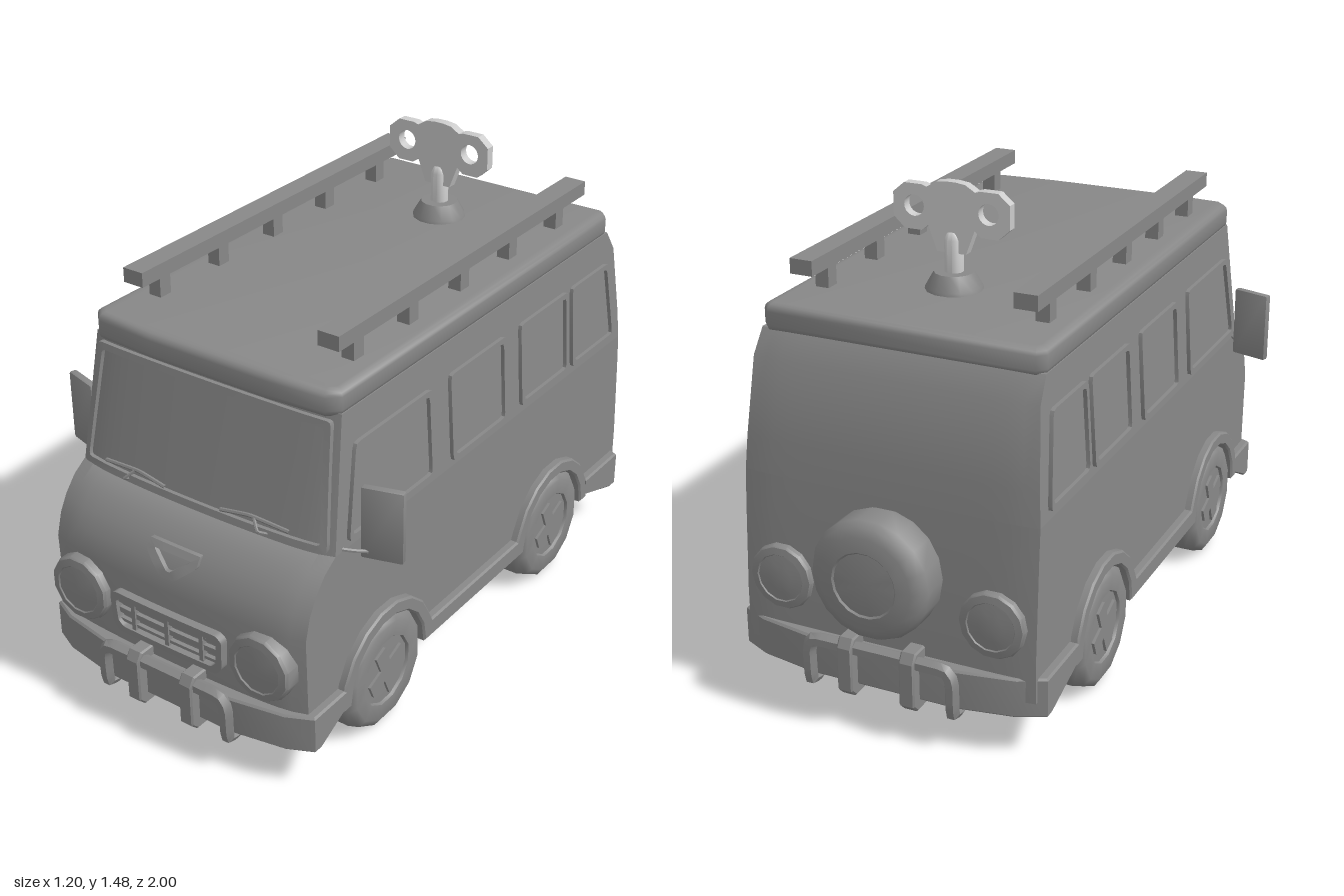
import * as THREE from 'three';
import { toCreasedNormals } from 'three/addons/utils/BufferGeometryUtils.js';
import { RoundedBoxGeometry } from 'three/addons/geometries/RoundedBoxGeometry.js';

const paint = new THREE.MeshStandardMaterial({ color: 0x888888 });
const keyMetal = new THREE.MeshStandardMaterial({ color: 0xcccccc });
const HALF = 0.455, FRONT_AXLE = 0.535, REAR_AXLE = -0.415, AXLE_Y = 0.186;

// Body outline at the centre line, as [z, y] from bottom to top
const NOSE = [[0.93, 0.18], [0.938, 0.5], [0.918, 0.57], [0.89, 0.62], [0.85, 0.667], [0.8, 0.7]];
const SCREEN = [[0.8, 0.7], [0.71, 1.1]];
const TAIL = [[-0.88, 0.18], [-0.879, 0.33], [-0.863, 0.6], [-0.855, 0.7]];
const UPPER_TAIL = [[-0.855, 0.7], [-0.846, 0.8], [-0.812, 1.03], [-0.765, 1.1]];

const halfWidth = y => HALF - 0.025 * THREE.MathUtils.clamp((y - 0.7) / 0.4, 0, 1);

// Rounds the body in plan: a bowed front, and small corners at the back
function bend(x, z) {
  const u = Math.abs(x) / HALF;
  const weight = THREE.MathUtils.clamp((Math.abs(z) - 0.65) / 0.15, 0, 1);
  return z > 0 ? z - weight * (0.02 * u ** 2 + 0.018 * u ** 10) : z + weight * 0.009 * u ** 10;
}

function frontZ(y) {
  const line = [...NOSE, SCREEN[1]];
  const i = Math.max(1, line.findIndex(p => p[1] >= y));
  const [a, b] = [line[i - 1], line[i]];
  return a[0] + (b[0] - a[0]) * (y - a[1]) / (b[1] - a[1]);
}

const vectors = points => points.map(p => new THREE.Vector2(p[0], p[1]));
const mirrored = half => [...half, ...half.map(([x, y]) => [-x, y]).reverse()];

function moveVertices(geometry, rule) {
  const p = geometry.attributes.position;
  for (let i = 0; i < p.count; i++) p.setXYZ(i, ...rule(p.getX(i), p.getY(i), p.getZ(i)));
  return geometry;
}

function add(parent, name, geometry, position = [0, 0, 0], crease = 0.6, material = paint) {
  const mesh = new THREE.Mesh(toCreasedNormals(geometry, crease), material);
  mesh.name = name;
  mesh.position.set(...position);
  parent.add(mesh);
  return mesh;
}

// Replaces each corner by a short curve and divides the long edges
function roundCorners(points, radius, pieces = 1) {
  const pts = vectors(points), out = [];
  pts.forEach((p, i) => {
    const toward = (from, to) => from.clone().lerp(to, Math.min(0.45, radius / from.distanceTo(to)));
    const next = pts[(i + 1) % pts.length];
    const a = toward(p, pts.at(i - 1)), b = toward(p, next), end = toward(next, p);
    out.push(a, a.clone().add(b).multiplyScalar(0.25).addScaledVector(p, 0.5), b);
    for (let k = 1; k < pieces; k++) out.push(b.clone().lerp(end, k / pieces));
  });
  return out;
}

// The outline moved inward by a width
function inset(outline, width) {
  const box = new THREE.Box2().setFromPoints(outline);
  const c = box.getCenter(new THREE.Vector2()), size = box.getSize(new THREE.Vector2());
  return outline.map(p => new THREE.Vector2(
    c.x + (p.x - c.x) * (1 - 2 * width / size.x), c.y + (p.y - c.y) * (1 - 2 * width / size.y)));
}

// A closed rim between two counterclockwise outlines with matching points
function rim(outline, hole, depth) {
  const rings = [[outline, -1], [outline, 1], [hole, 1], [hole, -1]];
  const n = outline.length, index = [];
  const position = rings.flatMap(([ring, side]) => ring.flatMap(p => [p.x, p.y, side * depth / 2]));
  for (let k = 0; k < 4; k++) for (let i = 0; i < n; i++) {
    const j = (i + 1) % n, r = k * n, t = ((k + 1) % 4) * n;
    index.push(r + i, r + j, t + j, r + i, t + j, t + i);
  }
  const geometry = new THREE.BufferGeometry().setIndex(index);
  return geometry.setAttribute('position', new THREE.Float32BufferAttribute(position, 3));
}

// Extrudes a [z, y] outline across x
function acrossX(points, width, steps = 1, bevel = 0) {
  return new THREE.ExtrudeGeometry(new THREE.Shape(vectors(points)), {
    depth: width, steps, bevelEnabled: bevel > 0, bevelSize: bevel, bevelThickness: bevel, bevelSegments: 1,
  }).translate(0, 0, -width / 2).rotateY(-Math.PI / 2);
}

const onFront = geometry => moveVertices(geometry, (x, y, z) => [x, y, z + bend(x, frontZ(y))]);
const lathe = (points, sides) => new THREE.LatheGeometry(vectors(points), sides, Math.PI / sides);

function tube(points, radius) {
  const curve = new THREE.CatmullRomCurve3(points.map(p => new THREE.Vector3(...p)), false, 'catmullrom', 0.15);
  return new THREE.TubeGeometry(curve, points.length * 5, radius, 6);
}

// Half circle over an axle, from its front to its back
const arch = (z, radius) => Array.from({ length: 10 }, (_, i) =>
  [z + radius * Math.cos(Math.PI * i / 9), AXLE_Y + radius * Math.sin(Math.PI * i / 9)]);

function addBody(van) {
  const rule = (x, y, z) => [x * halfWidth(y) / HALF, y, bend(x, z)];
  const floor = [...arch(FRONT_AXLE, 0.197), ...arch(REAR_AXLE, 0.197)];
  const lower = [...floor, ...TAIL, ...[...NOSE].reverse()];
  const upper = [...UPPER_TAIL, ...[...SCREEN].reverse()];
  add(van, 'lowerBody', moveVertices(acrossX(lower, HALF * 2, 20), rule));
  add(van, 'upperBody', moveVertices(acrossX(upper, HALF * 2, 20), rule));
  // Roof cap with rounded edges
  const plan = mirrored([[0.2, -0.712], [0.385, -0.7], [0.405, -0.68], [0.405, 0.735], [0.395, 0.746]]);
  add(van, 'roof', new THREE.ExtrudeGeometry(new THREE.Shape(vectors(plan)), {
    depth: 0.04, bevelSize: 0.024, bevelThickness: 0.022, bevelSegments: 3,
  }).rotateX(-Math.PI / 2), [0, 1.109, 0], 0.9);
}

function addFront(van) {
  const screen = roundCorners([[0.438, 0.71], [0.41, 1.08], [-0.41, 1.08], [-0.438, 0.71]], 0.012, 12);
  add(van, 'windscreenFrame', onFront(rim(screen, inset(screen, 0.02), 0.024)));
  const grille = roundCorners([[0.2, 0.33], [0.205, 0.425], [0.185, 0.441], [-0.185, 0.441], [-0.205, 0.425],
    [-0.2, 0.33], [-0.18, 0.307], [0.18, 0.307]], 0.008, 6);
  add(van, 'grilleFrame', onFront(rim(grille, inset(grille, 0.02), 0.05)));
  for (const [y, height] of [[0.34, 0.01], [0.373, 0.018], [0.404, 0.01]])
    add(van, 'grilleBar', onFront(new THREE.BoxGeometry(0.37, height, 0.026, 12).translate(0, y, 0)));
  for (const x of [-0.125, 0, 0.125])
    add(van, 'grillePost', new THREE.BoxGeometry(0.014, 0.105, 0.034), [x, 0.373, bend(x, 0.936)]);
  const badge = [[0.09, 0.63], [-0.09, 0.63], [-0.09, 0.6], [-0.025, 0.547], [0.025, 0.547], [0.09, 0.6]];
  const opening = [[0.066, 0.612], [-0.066, 0.612], [-0.06, 0.606], [-0.006, 0.567], [0.006, 0.567], [0.06, 0.606]];
  add(van, 'noseTrim', onFront(rim(roundCorners(badge, 0.003, 4), roundCorners(opening, 0.003, 4), 0.026)));
  for (const s of [-1, 1]) {
    const at = (x, y, lift) => [s * x, y, bend(x, frontZ(y)) + lift];
    add(van, 'wiperBlade', tube([at(0.1, 0.748, 0.024), at(0.2, 0.762, 0.024), at(0.33, 0.754, 0.024)], 0.006));
    add(van, 'wiperArm', tube([at(0.255, 0.712, 0), at(0.24, 0.735, 0.04), at(0.215, 0.76, 0.026)], 0.005));
    add(van, 'mirrorArm', tube([[s * 0.45, 0.706, 0.73], [s * 0.48, 0.698, 0.705], [s * 0.515, 0.69, 0.667]], 0.006));
    const mirror = add(van, 'mirror', new RoundedBoxGeometry(0.124, 0.224, 0.026, 1, 0.007), [s * 0.54, 0.782, 0.66]);
    mirror.rotation.y = s * 0.28;
  }
}

function addLamps(van) {
  const profile = [[0.105, -0.03], [0.105, 0.022], [0.1, 0.031], [0.078, 0.035], [0.075, 0.031], [0.04, 0.035], [0, 0.037]];
  for (const s of [-1, 1]) {
    add(van, 'headlight', lathe(profile, 12).rotateX(Math.PI / 2), [s * 0.33, 0.39, 0.927]);
    add(van, 'tailLamp', lathe(profile, 14).scale(0.95, 0.9, 0.95).rotateX(-Math.PI / 2), [s * 0.33, 0.4, -0.864]);
  }
}

function addSides(van) {
  const windows = [
    [[0.655, 1], [0.285, 1], [0.285, 0.72], [0.71, 0.72]],
    [[0.19, 1], [-0.115, 1], [-0.115, 0.72], [0.19, 0.72]],
    [[-0.2, 1], [-0.49, 1], [-0.49, 0.725], [-0.2, 0.725]],
    [[-0.515, 1], [-0.75, 1], [-0.795, 0.725], [-0.515, 0.725]],
  ];
  // Wheel arch flares joined by the sill
  const flare = z => arch(z, 0.224).map(([a, y]) => [a, Math.abs(a - 0.06) < 0.26 ? 0.235 : y]);
  const trim = [...flare(FRONT_AXLE), ...flare(REAR_AXLE),
    ...arch(REAR_AXLE, 0.192).reverse(), ...arch(FRONT_AXLE, 0.192).reverse()];
  for (const s of [-1, 1]) {
    for (const w of windows) {
      const outline = roundCorners(w, 0.018);
      const g = rim(outline, inset(outline, 0.016), 0.024).rotateY(-Math.PI / 2);
      add(van, 'sideWindowFrame', moveVertices(g, (x, y, z) => [x + s * halfWidth(y), y, z]));
    }
    add(van, 'archTrim', acrossX(trim, 0.03, 1, 0.006), [s * 0.46, 0, 0], 0.4);
  }
}

function addWheels(van) {
  const tyre = [[0, -0.078], [0.06, -0.07], [0.095, -0.05], [0.11, -0.07], [0.16, -0.077], [0.183, -0.062],
    [0.192, -0.03], [0.192, 0.03], [0.183, 0.062], [0.16, 0.077], [0.112, 0.075], [0.108, 0.066], [0, 0.068]];
  for (const s of [-1, 1]) for (const z of [FRONT_AXLE, REAR_AXLE]) {
    const wheel = new THREE.Group();
    wheel.name = 'wheel';
    wheel.position.set(s * 0.398, AXLE_Y, z);
    wheel.rotation.y = s > 0 ? 0 : Math.PI;
    add(wheel, 'tyre', lathe(tyre, 12).rotateZ(-Math.PI / 2), [0, 0, 0], 0.85);
    for (const turn of [0, Math.PI / 2])
      add(wheel, 'hubSpoke', new THREE.BoxGeometry(0.026, 0.17, 0.048), [0.062, 0, 0]).rotation.x = turn + 0.4;
    van.add(wheel);
  }
  const spare = [[0.17, 0], [0.18, 0.02], [0.18, 0.1], [0.168, 0.122], [0.14, 0.133], [0.099, 0.139], [0.094, 0.134], [0, 0.139]];
  add(van, 'spareWheel', lathe(spare, 18).rotateX(-Math.PI / 2), [0, 0.5, -0.857], 0.8);
}

function addBumper(van, name, turn, offset, reach) {
  const bumper = new THREE.Group();
  bumper.name = name;
  bumper.rotation.y = turn;
  bumper.position.z = offset;
  // Solid tray whose underside rises toward the wheels
  const plan = mirrored([[0.23, -0.96], [0.4, -0.93], [0.475, -0.895], [0.475, -0.87], [0.475, -reach]]);
  const tray = new THREE.ExtrudeGeometry(new THREE.Shape(vectors(plan)), {
    depth: 0.11, bevelSize: 0.006, bevelThickness: 0.006, bevelSegments: 1,
  }).rotateX(-Math.PI / 2).translate(0, 0.136, 0);
  add(bumper, 'bumperTray', moveVertices(tray, (x, y, z) =>
    [x, y < 0.19 ? y + 0.06 * THREE.MathUtils.clamp((0.87 - z) / (0.87 - reach), 0, 1) : y, z]), [0, 0, 0], 0.4);
  const half = [[0.225, 0.115, 0.93], [0.225, 0.12, 0.968], [0.225, 0.215, 0.972], [0.2, 0.25, 0.972]];
  add(bumper, 'guardBar', tube([...half, ...half.map(([x, y, z]) => [-x, y, z]).reverse()], 0.022));
  const hook = [[0.92, 0.28], [0.98, 0.28], [0.995, 0.255], [0.995, 0.125], [0.975, 0.105], [0.9, 0.105],
    [0.9, 0.13], [0.958, 0.132], [0.966, 0.245], [0.92, 0.25]];
  for (const s of [-1, 1]) add(bumper, 'guardHook', acrossX(hook, 0.038, 1, 0.005), [s * 0.098, 0, 0], 0.4);
  van.add(bumper);
}

function addRoofParts(van) {
  for (const s of [-1, 1]) {
    add(van, 'roofRail', new THREE.BoxGeometry(0.07, 0.045, 1.32), [s * 0.34, 1.262, -0.03]);
    for (const z of [0.52, 0.255, -0.01, -0.28, -0.56])
      add(van, 'railPost', new THREE.BoxGeometry(0.042, 0.08, 0.045), [s * 0.34, 1.205, z]);
  }
  // Wind-up key
  const at = [0, 0, -0.43];
  add(van, 'keyBase', lathe([[0.085, 1.165], [0.082, 1.18], [0.058, 1.222], [0.028, 1.222]], 14), at);
  add(van, 'keyShaft', lathe([[0.028, 1.2], [0.028, 1.315], [0.019, 1.336], [0, 1.343]], 12), at, 0.9, keyMetal);
  const plate = new THREE.Shape(vectors(mirrored([[0.045, 1.278], [0.072, 1.35], [0.092, 1.333], [0.145, 1.333],
    [0.18, 1.365], [0.18, 1.435], [0.145, 1.465], [0.09, 1.465], [0.075, 1.46], [0.045, 1.478], [0.015, 1.482]])));
  for (const s of [-1, 1]) plate.holes.push(new THREE.Path().absarc(s * 0.115, 1.402, 0.031, 0, Math.PI * 2));
  const plateGeometry = new THREE.ExtrudeGeometry(plate, { depth: 0.03, bevelEnabled: false, curveSegments: 10 });
  add(van, 'keyPlate', plateGeometry.translate(0, 0, -0.015), at, 0.6, keyMetal);
}

export function createModel() {
  const van = new THREE.Group();
  van.name = 'toyVan';
  for (const build of [addBody, addFront, addLamps, addSides, addWheels, addRoofParts]) build(van);
  addBumper(van, 'frontBumper', 0, 0, 0.755);
  addBumper(van, 'rearBumper', Math.PI, 0.05, 0.69);
  return van;
}
